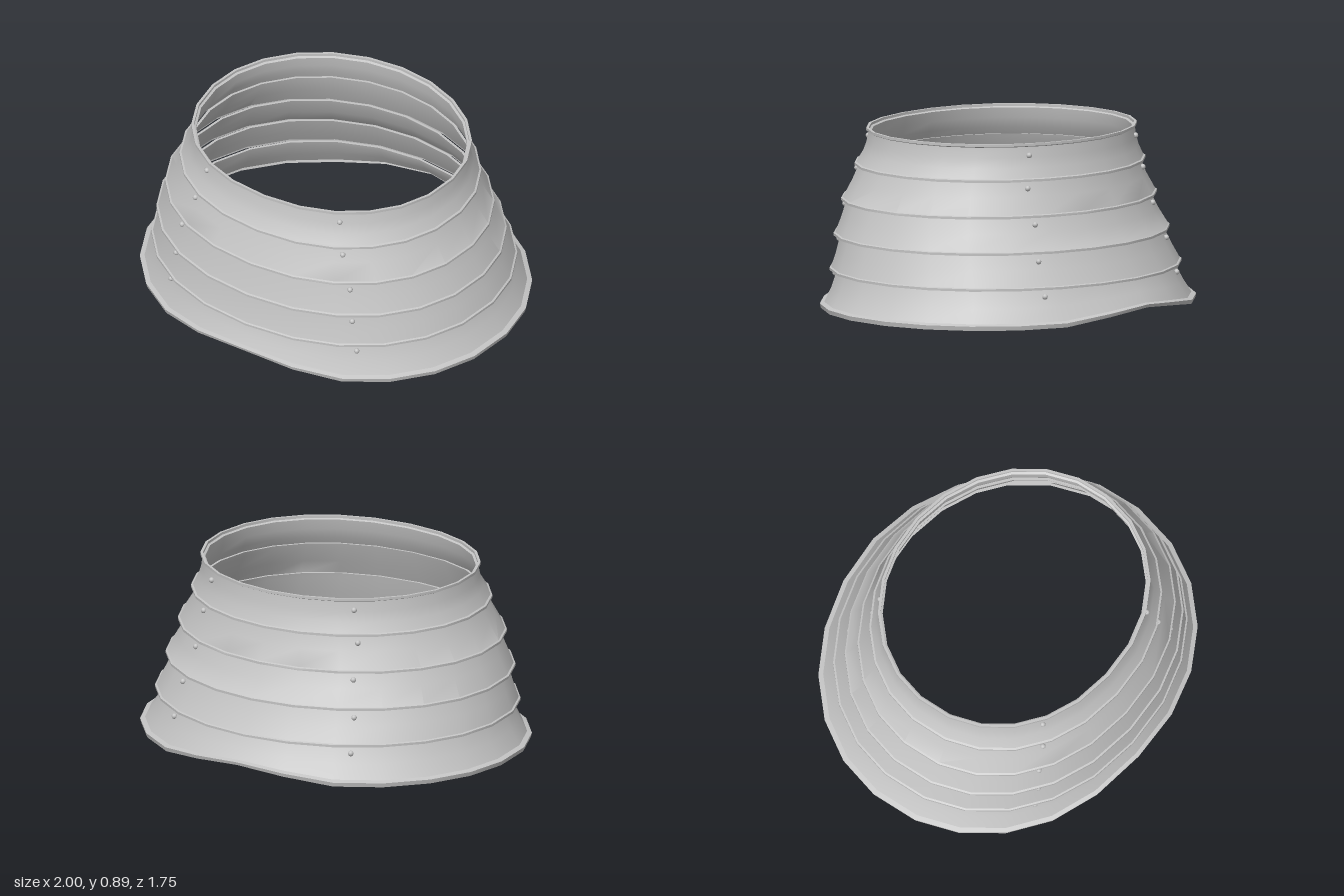
import * as THREE from 'three';
import { toCreasedNormals } from 'three/addons/utils/BufferGeometryUtils.js';

const SIDES = 24;
const THICK = 0.013;

// Each row of a band: [height, half width, front z, back z]
const BANDS = [
  {
    name: 'hemBand',
    rows: [[0, 0.995, 0.868, -0.868], [0.022, 1, 0.873, -0.873], [0.03, 0.975, 0.853, -0.85],
      [0.1, 0.926, 0.828, -0.812], [0.19, 0.885, 0.803, -0.767], [0.215, 0.877, 0.799, -0.758]],
    rivet: { y: 0.15, front: 0.548, back: 0.526 },
  },
  {
    name: 'lowerBand',
    rows: [[0.186, 0.931, 0.836, -0.803], [0.198, 0.931, 0.836, -0.803], [0.202, 0.922, 0.828, -0.794],
      [0.28, 0.888, 0.806, -0.747], [0.36, 0.855, 0.792, -0.71], [0.385, 0.846, 0.788, -0.7]],
    rivet: { y: 0.32, front: 0.52, back: 0.51 },
  },
  {
    name: 'middleBand',
    rows: [[0.357, 0.893, 0.822, -0.738], [0.369, 0.893, 0.822, -0.738], [0.373, 0.884, 0.813, -0.73],
      [0.455, 0.839, 0.788, -0.68], [0.535, 0.803, 0.769, -0.64], [0.56, 0.793, 0.763, -0.631]],
    rivet: { y: 0.495, front: 0.496, back: 0.47 },
  },
  {
    name: 'upperBand',
    rows: [[0.53, 0.84, 0.791, -0.673], [0.542, 0.84, 0.791, -0.673], [0.546, 0.831, 0.783, -0.665],
      [0.63, 0.777, 0.745, -0.626], [0.71, 0.737, 0.714, -0.602], [0.735, 0.728, 0.705, -0.596]],
    rivet: { y: 0.67, front: 0.435, back: 0.46 },
  },
  {
    name: 'waistBand',
    rows: [[0.704, 0.766, 0.734, -0.626], [0.716, 0.766, 0.734, -0.626], [0.72, 0.756, 0.725, -0.617],
      [0.77, 0.726, 0.696, -0.597], [0.82, 0.709, 0.678, -0.585], [0.872, 0.701, 0.667, -0.578],
      [0.877, 0.712, 0.678, -0.589], [0.89, 0.712, 0.678, -0.589]],
    rivet: { y: 0.83, front: 0.392, back: 0.425 },
  },
];

// Point on an oval row; the front half is slightly squarer than the back
function ovalPoint([y, a, front, back], angle) {
  const c = (front + back) / 2, b = (front - back) / 2;
  const s = Math.sin(angle), k = Math.cos(angle);
  const p = k > 1e-6 ? 0.94 : 1;
  const x = a * Math.sign(s) * Math.abs(s) ** p;
  const z = c + b * Math.sign(k) * Math.abs(k) ** p;
  // The hem arches up at the middle of the front and back
  const arch = 0.5 + 0.5 * Math.cos(Math.PI * Math.min(1, Math.abs(x) / 0.6));
  return [x, y + 0.057 * arch * Math.max(0, 1 - y / 0.19), z];
}

// Closed shell: outer rows upward, then inner rows downward
function bandGeometry(rows) {
  const inner = rows.map(([y, a, f, b]) => [y, a - THICK, f - THICK, b + THICK]).reverse();
  const loop = [...rows, ...inner];
  const n = loop.length, positions = [], index = [];
  for (let i = 0; i < SIDES; i++) {
    for (const row of loop) positions.push(...ovalPoint(row, (i / SIDES) * Math.PI * 2));
    const next = (i + 1) % SIDES;
    for (let j = 0; j < n; j++) {
      const k = (j + 1) % n;
      const p = i * n + j, q = next * n + j, r = next * n + k, s = i * n + k;
      index.push(p, q, r, p, r, s);
    }
  }
  const geometry = new THREE.BufferGeometry();
  geometry.setAttribute('position', new THREE.Float32BufferAttribute(positions, 3));
  geometry.setIndex(index);
  return toCreasedNormals(geometry, 0.6);
}

// Row of a band at any height
function rowAt(rows, y) {
  const i = rows.findIndex((r) => r[0] > y);
  const low = rows[i - 1], high = rows[i];
  const t = (y - low[0]) / (high[0] - low[0]);
  return low.map((v, k) => v + (high[k] - v) * t);
}

export function createModel() {
  const model = new THREE.Group();
  model.name = 'bandedSkirt';
  const steel = new THREE.MeshStandardMaterial({ color: 0xc4c4c4 });
  steel.name = 'steel grey';
  const rivetGeometry = new THREE.SphereGeometry(0.014, 10, 8);

  for (const { name, rows, rivet } of BANDS) {
    const group = new THREE.Group();
    group.name = name;
    const shell = new THREE.Mesh(bandGeometry(rows), steel);
    shell.name = name + 'Shell';
    group.add(shell);

    // Four rivets, mirrored left and right
    const row = rowAt(rows, rivet.y);
    for (const side of [-1, 1]) {
      for (const end of ['front', 'back']) {
        const ratio = rivet[end] / row[1];
        const angle = end === 'front' ? Math.asin(ratio ** (1 / 0.94)) : Math.PI - Math.asin(ratio);
        const stud = new THREE.Mesh(rivetGeometry, steel);
        stud.name = end + 'Rivet';
        stud.position.set(...ovalPoint(row, side * angle));
        group.add(stud);
      }
    }
    model.add(group);
  }
  return model;
}
